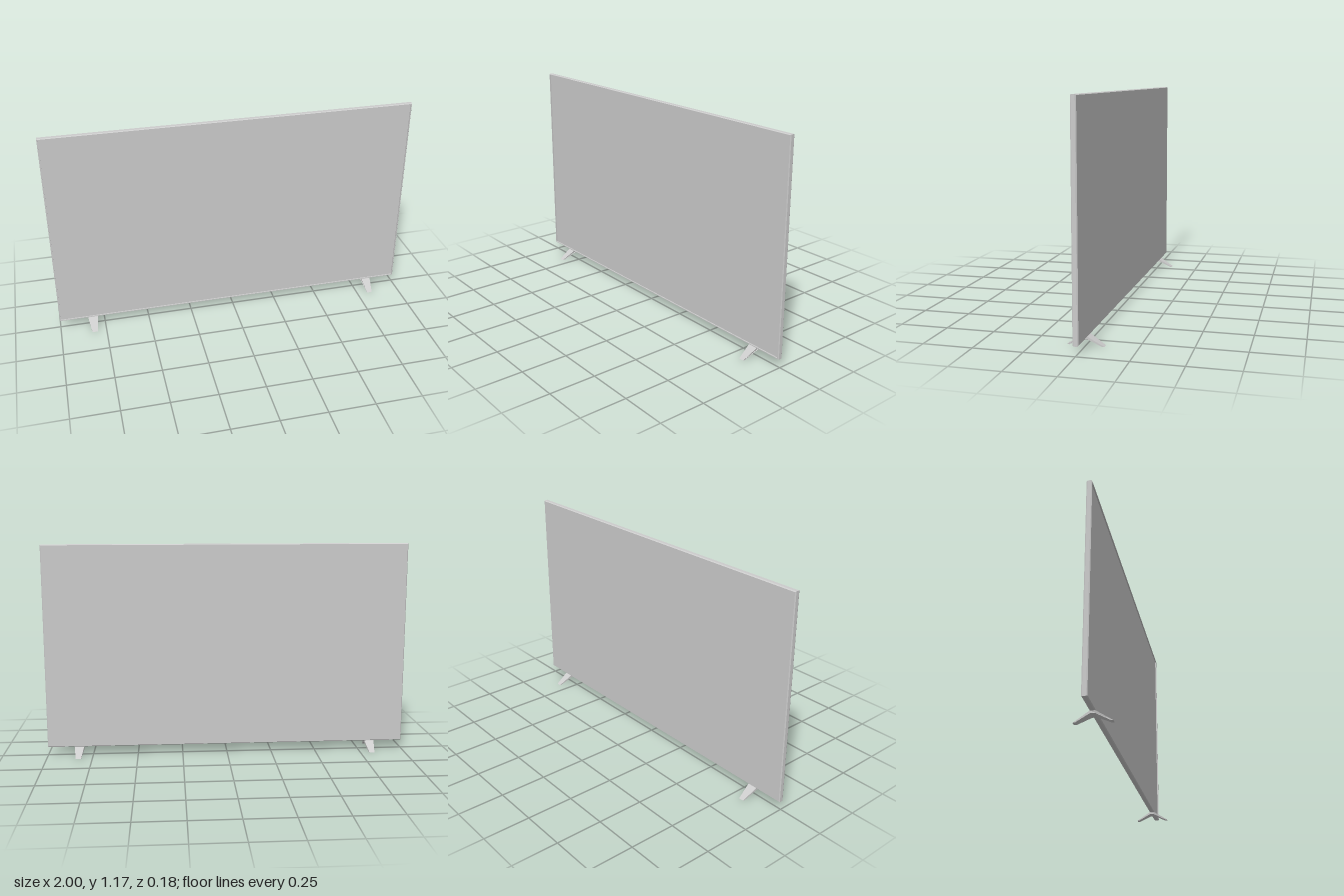
import * as THREE from 'three';

const HALF_WIDTH = 1, BOTTOM = 0.047, TOP = 1.169;

// Lofts a row of nested rectangles, each [inset, z], from back to front and caps both ends
function loftRectangles(steps) {
  const loops = steps.map(([inset, z]) => {
    const x = HALF_WIDTH - inset, y0 = BOTTOM + inset, y1 = TOP - inset;
    return [[-x, y0, z], [x, y0, z], [x, y1, z], [-x, y1, z]];
  });
  const positions = [];
  const quad = (a, b, c, d) => positions.push(...a, ...b, ...c, ...a, ...c, ...d);
  const back = loops[0], front = loops[loops.length - 1];
  quad(back[3], back[2], back[1], back[0]);
  for (let i = 0; i < loops.length - 1; i++) {
    for (let k = 0; k < 4; k++) {
      const n = (k + 1) % 4;
      quad(loops[i][k], loops[i][n], loops[i + 1][n], loops[i + 1][k]);
    }
  }
  quad(...front);
  const geometry = new THREE.BufferGeometry();
  geometry.setAttribute('position', new THREE.Float32BufferAttribute(positions, 3));
  geometry.computeVertexNormals();
  return geometry;
}

// Splayed two-toed foot: a bent strip that narrows towards its tips
function footGeometry() {
  const half = [[0.013, 0.047], [0.091, 0], [0.08, 0], [0.012, 0.034]];
  const outline = [...half, ...half.map(([z, y]) => [-z, y]).reverse()];
  const shape = new THREE.Shape(outline.map(([z, y]) => new THREE.Vector2(z, y)));
  const geometry = new THREE.ExtrudeGeometry(shape, { depth: 1, bevelEnabled: false });
  geometry.translate(0, 0, -0.5).rotateY(-Math.PI / 2);
  const p = geometry.attributes.position;
  for (let i = 0; i < p.count; i++) {
    const t = Math.max(0, (Math.abs(p.getZ(i)) - 0.013) / 0.078);
    p.setX(i, p.getX(i) * THREE.MathUtils.lerp(0.053, 0.028, t));
  }
  geometry.computeVertexNormals();
  return geometry;
}

export function createModel() {
  const model = new THREE.Group();
  model.name = 'television';
  const grey = new THREE.MeshStandardMaterial({ color: 0xcccccc });
  grey.name = 'light grey';

  // Thin panel with chamfered edges and a narrow bezel around the recessed screen
  const panel = new THREE.Mesh(loftRectangles([
    [0.004, -0.014], [0, -0.009], [0, 0.009], [0.003, 0.014], [0.007, 0.014], [0.007, 0.007],
  ]), grey);
  panel.name = 'screenPanel';
  model.add(panel);

  // Feet
  const foot = footGeometry();
  for (const [name, x] of [['rightFoot', -0.815], ['leftFoot', 0.826]]) {
    const mesh = new THREE.Mesh(foot, grey);
    mesh.name = name;
    mesh.position.x = x;
    model.add(mesh);
  }
  return model;
}
